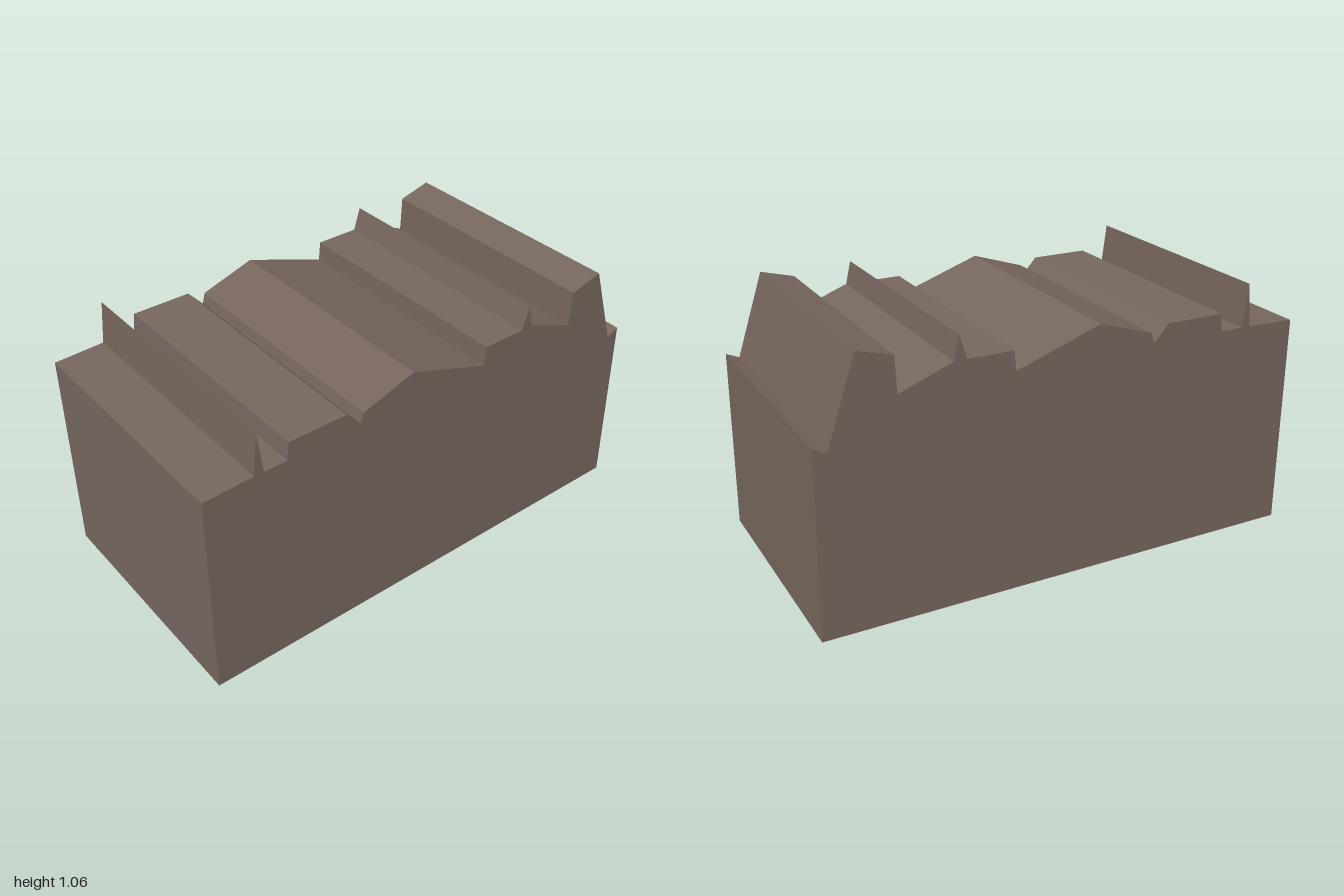
import * as THREE from 'three';

export function createModel() {
  const group = new THREE.Group();
  group.name = 'ridgedBlock';
  const brown = new THREE.MeshStandardMaterial({ color: 0x75655d });
  brown.name = 'earth brown';

  // Jagged skyline, left to right, closed along the ground
  const depth = 1.01;
  const profile = [
    [-1, 0], [1, 0], [0.99, 0.743], [0.937, 0.72], [0.824, 1.057],
    [0.688, 1.02], [0.68, 0.878], [0.472, 0.957], [0.45, 1.05], [0.42, 0.957],
    [0.238, 0.957], [0.23, 0.878], [-0.115, 0.997], [-0.338, 0.925],
    [-0.35, 0.88], [-0.412, 0.95], [-0.655, 0.95], [-0.663, 0.877],
    [-0.757, 0.877], [-0.78, 1.05], [-0.797, 0.877], [-1, 0.87],
  ];
  const shape = new THREE.Shape(profile.map(([x, y]) => new THREE.Vector2(x, y)));
  const geometry = new THREE.ExtrudeGeometry(shape, { depth, bevelEnabled: false });
  geometry.translate(0, 0, -depth / 2);

  // Solid block with ridges running front to back
  const block = new THREE.Mesh(geometry, brown);
  block.name = 'terrainBlock';
  group.add(block);
  return group;
}
